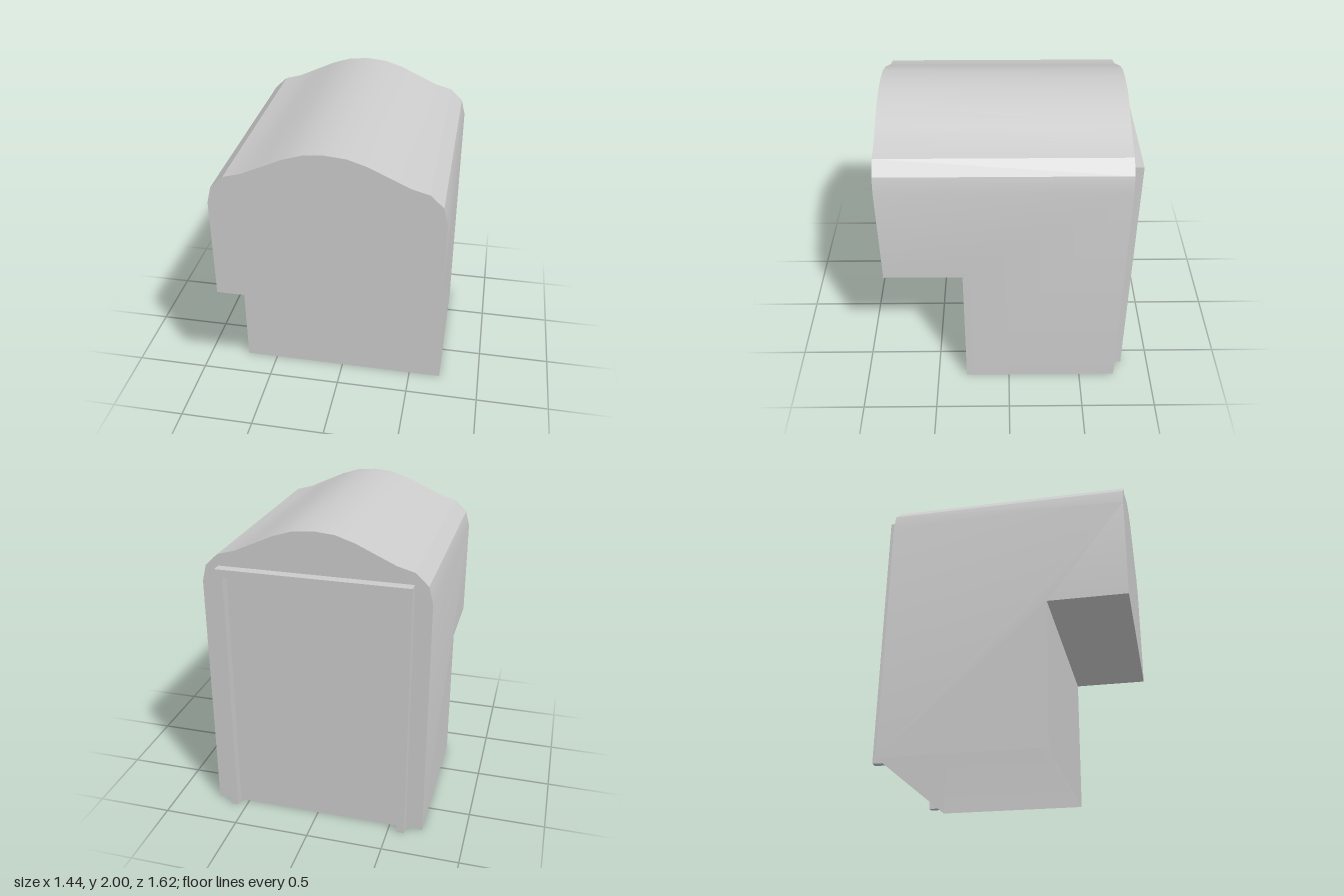
import * as THREE from 'three';
import { mergeGeometries, toCreasedNormals } from 'three/addons/utils/BufferGeometryUtils.js';

const W = 0.72, FRONT = 0.81, STEP = 0.3, BACK = -0.745, LEDGE = 0.95, EAVE = 1.62;

// right half of the arched roof, from the ridge down to the eave
const half = [[0, 2], [0.13, 1.988], [0.25, 1.95], [0.38, 1.89], [0.5, 1.835], [0.612, 1.804], [0.693, 1.727], [W, EAVE]];
const arch = [...half.slice(1).reverse().map(([x, y]) => [-x, y]), ...half];

const flat = (pts) => new THREE.ShapeGeometry(new THREE.Shape(pts.map(([x, y]) => new THREE.Vector2(x, y))));

// end wall following the arch, down to the given height
const endWall = (bottom) => flat([[-W, bottom], [W, bottom], ...[...arch].reverse()]);

// stepped side wall; s = 1 for left, -1 for right
function sideWall(s) {
  const outline = [[BACK, 0], [STEP, 0], [STEP, LEDGE], [FRONT, LEDGE], [FRONT, EAVE], [BACK, EAVE]];
  return flat(outline.map(([z, y]) => [-s * z, y])).rotateY(s * Math.PI / 2).translate(s * W, 0, 0);
}

// roof skin: a plane strip bent along the arch
function roofSkin() {
  const geo = new THREE.PlaneGeometry(1, 1, arch.length - 1, 1);
  const p = geo.attributes.position;
  for (let i = 0; i < p.count; i++) {
    const [x, y] = arch[i % arch.length];
    p.setXYZ(i, x, y, i < arch.length ? BACK : FRONT);
  }
  return geo;
}

export function createModel() {
  const group = new THREE.Group();
  const add = (name, geo) => {
    const mesh = new THREE.Mesh(geo, new THREE.MeshStandardMaterial({ color: 0xcccccc, side: THREE.DoubleSide }));
    mesh.name = name;
    group.add(mesh);
  };

  // hollow shell, open at the bottom
  const walls = [
    roofSkin(),
    sideWall(1),
    sideWall(-1),
    endWall(LEDGE).translate(0, 0, FRONT),
    endWall(0).rotateY(Math.PI).translate(0, 0, BACK),
    new THREE.PlaneGeometry(2 * W, LEDGE).translate(0, LEDGE / 2, STEP), // lower front wall
    new THREE.PlaneGeometry(2 * W, FRONT - STEP).rotateX(Math.PI / 2).translate(0, LEDGE, (FRONT + STEP) / 2), // overhang underside
  ].map((g) => {
    const n = g.toNonIndexed();
    n.deleteAttribute('uv');
    return n;
  });
  add('body', toCreasedNormals(mergeGeometries(walls), 0.35));

  // raised door frame on the back
  const o = 0.61, i = 0.56, top = 1.73;
  const frame = new THREE.Shape([
    [-o, 0], [-i, 0], [-i, top - 0.05], [i, top - 0.05], [i, 0], [o, 0], [o, top], [-o, top],
  ].map(([x, y]) => new THREE.Vector2(x, y)));
  add('doorFrame', new THREE.ExtrudeGeometry(frame, { depth: BACK + 0.81, bevelEnabled: false }).translate(0, 0, -0.81));

  return group;
}
